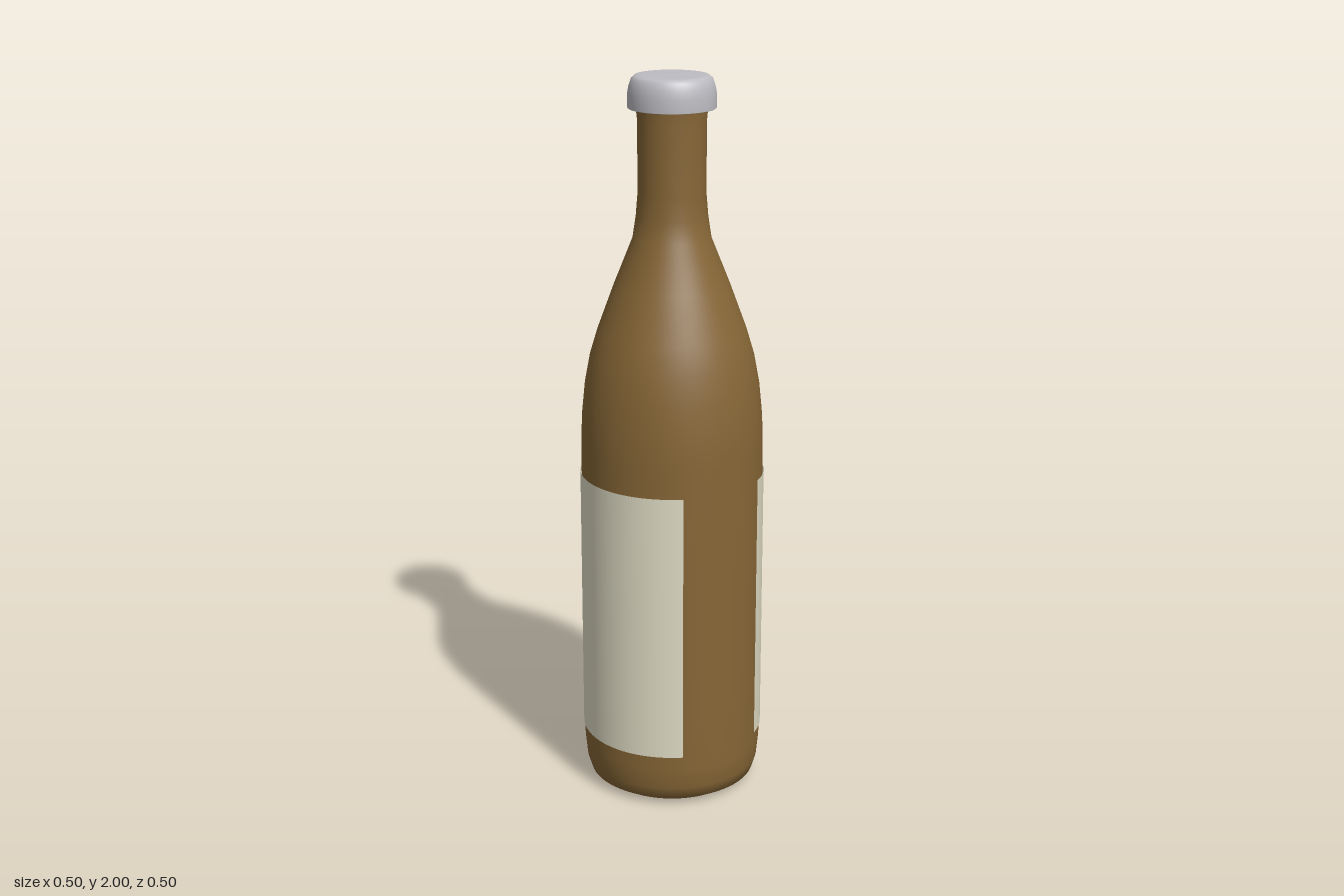
import * as THREE from 'three';

const material = (name, color, side = THREE.FrontSide) =>
  new THREE.MeshStandardMaterial({ name, color, side });

// Surface of revolution from [radius, height] pairs, bottom to top
function lathe(name, profile, mat) {
  const points = profile.map(([r, y]) => new THREE.Vector2(r, y));
  const mesh = new THREE.Mesh(new THREE.LatheGeometry(points, 64), mat);
  mesh.name = name;
  return mesh;
}

export function createModel() {
  const glass = material('brown glass', 0x866636);
  const paper = material('cream paper', 0xdfdbc4, THREE.DoubleSide);
  const metal = material('silver metal', 0xbcbcc2);

  const model = new THREE.Group();
  model.name = 'bottle';

  // Body, shoulder and neck
  model.add(lathe('bottleBody', [
    [0, 0.005], [0.19, 0.003], [0.2, 0.005], [0.232, 0.025], [0.243, 0.06], [0.249, 0.12],
    [0.249, 0.4], [0.249, 0.7], [0.249, 1.0], [0.246, 1.08], [0.237, 1.17],
    [0.222, 1.25], [0.201, 1.32], [0.157, 1.44], [0.105, 1.57],
    [0.096, 1.63], [0.091, 1.69], [0.091, 1.88], [0.094, 1.91], [0.094, 1.93],
  ], glass));

  // Cap with a flat underside and a rounded top edge
  model.add(lathe('cap', [
    [0.085, 1.915], [0.116, 1.915], [0.117, 1.916], [0.117, 1.95],
    [0.113, 1.972], [0.107, 1.99], [0.098, 1.998], [0.085, 2.0], [0, 2.0],
  ], metal));

  // Label wrapped five sixths of the way round, standing just off the glass
  const label = new THREE.Mesh(
    new THREE.CylinderGeometry(0.2525, 0.2525, 0.76, 60, 1, true, Math.PI / 2, Math.PI * 5 / 3),
    paper);
  label.name = 'label';
  label.position.y = 0.54;
  model.add(label);

  return model;
}
